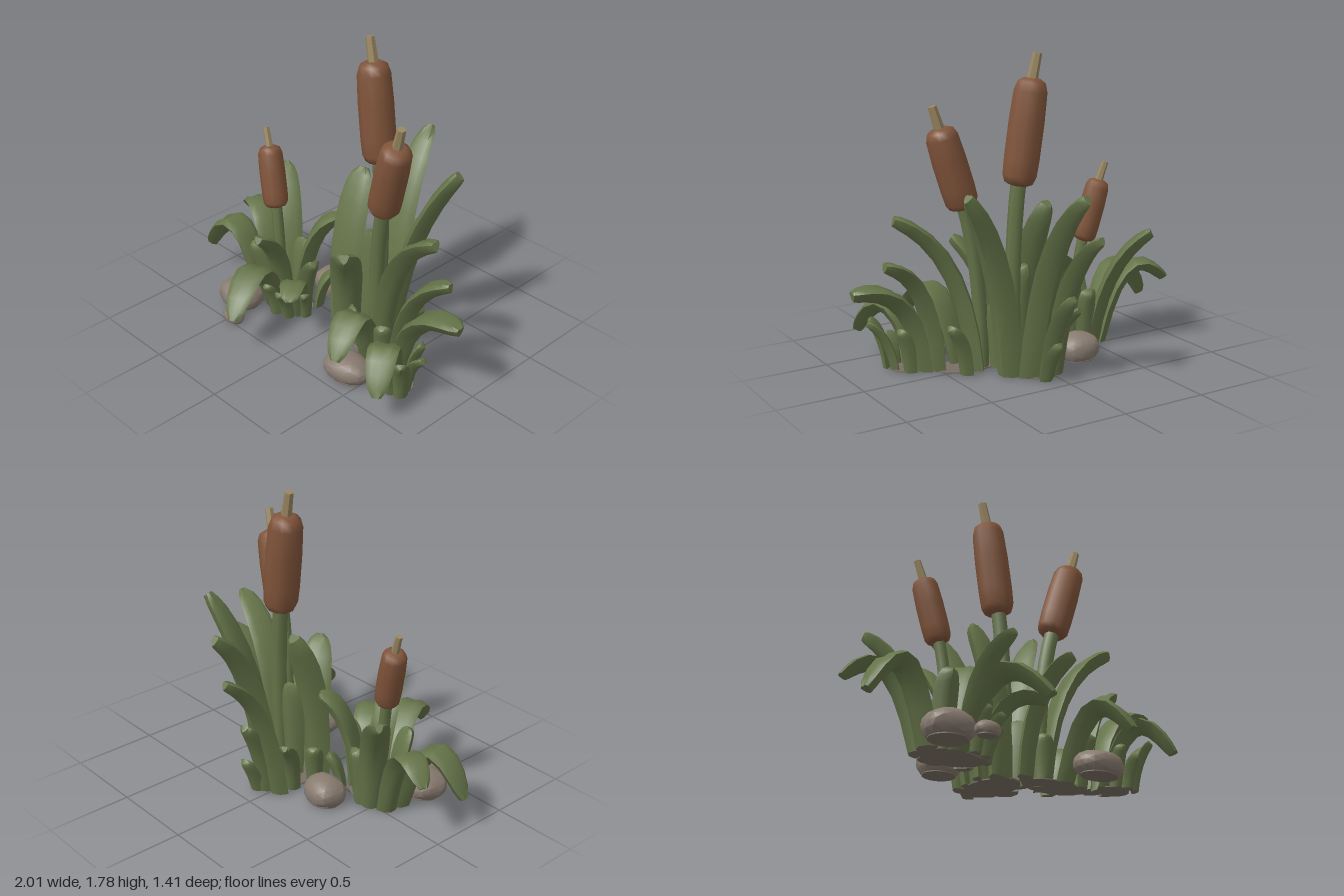
import * as THREE from 'three';
import { toCreasedNormals } from 'three/addons/utils/BufferGeometryUtils.js';

const mat = (name, color) => {
  const m = new THREE.MeshStandardMaterial({ color });
  m.name = name;
  return m;
};
const V = (x, y, z) => new THREE.Vector3(x, y, z);

export function createModel() {
  const green = mat('leaf green', 0x657449);
  const brown = mat('seed head brown', 0x80543a);
  const straw = mat('dry straw', 0x9a8761);
  const stone = mat('stone grey', 0x887b70);
  const earth = mat('earth', 0x7a6e64);
  const root = new THREE.Group();

  const add = (geo, material, name, parent = root) => {
    const m = new THREE.Mesh(geo, material);
    m.name = name;
    parent.add(m);
    return m;
  };

  // Leaf cross-section (side, normal): shallow groove above, rounded keel below
  const section = [[1, 0.15], [0.55, 0.4], [0, 0.3], [-0.55, 0.4], [-1, 0.15], [-0.6, -0.5], [0, -0.8], [0.6, -0.5]];
  // Stations along the leaf: position on the curve, width factor
  const stations = [[0, 0.82], [0.15, 0.88], [0.3, 0.94], [0.45, 1], [0.6, 1], [0.75, 0.95], [0.87, 0.82], [0.95, 0.62], [1, 0.3]];

  // Blade bending from base to tip; f and cy place the bend's control point
  function leafGeometry([bx, bz, tx, ty, tz, f, cy, w, taper = 0]) {
    const base = V(bx, 0, bz), tip = V(tx, ty, tz);
    const ctrl = base.clone().lerp(tip, f).setY(cy);
    const curve = new THREE.QuadraticBezierCurve3(base, ctrl, tip);
    const side = V(0, 1, 0).cross(V(tx - bx, 0, tz - bz).normalize());
    const pos = [], sides = [], cap = [], n = section.length;
    stations.forEach(([t, width], i) => {
      const c = curve.getPoint(t), normal = curve.getTangent(t).cross(side);
      const k = width * (1 - taper * t), thick = w * 0.42 * (0.45 + 0.55 * k);
      for (const [s, h] of section) {
        const p = c.clone().addScaledVector(side, s * k * w / 2).addScaledVector(normal, h * thick);
        pos.push(p.x, i ? Math.max(p.y, 0) : 0, p.z);
      }
      if (!i) return;
      for (let j = 0; j < n; j++) {
        const a = (i - 1) * n + j, b = (i - 1) * n + (j + 1) % n;
        sides.push(a, b, b + n, a, b + n, a + n);
      }
    });
    const last = (stations.length - 1) * n;
    for (let j = 1; j < n - 1; j++) {
      sides.push(last, last + j, last + j + 1);
      cap.push(0, j + 1, j);
    }
    const g = new THREE.BufferGeometry();
    g.setAttribute('position', new THREE.Float32BufferAttribute(pos, 3));
    g.setIndex([...sides, ...cap]);
    g.addGroup(0, sides.length, 0);
    g.addGroup(sides.length, cap.length, 1);
    return toCreasedNormals(g, 0.85);
  }

  // Each leaf: base x, z, tip x, y, z, bend fraction, bend height, width, taper
  const clumps = {
    tallClump: [
      [0.0, 0.01, -0.04, 0.95, -0.19, 0.0, 0.6, 0.21],
      [0.1, -0.27, 0.03, 1.07, -0.68, 0.25, 0.85, 0.22, 0.35],
      [-0.02, -0.3, -0.06, 0.84, -0.69, 0.25, 0.68, 0.17, 0.25],
      [0.2, -0.19, 0.54, 1.07, -0.34, 0.2, 0.72, 0.21, 0.25],
      [0.1, 0.08, 0.29, 0.7, 0.29, 0.1, 0.55, 0.18],
      [0.05, -0.34, 0, 0.49, -0.52, 0.25, 0.35, 0.14],
      [0.08, -0.38, 0.06, 0.23, -0.48, 0.3, 0.15, 0.11],
      [-0.05, -0.22, -0.15, 0.36, -0.36, 0.2, 0.27, 0.11],
      [-0.08, -0.08, -0.12, 0.25, -0.12, 0.2, 0.18, 0.11],
      [0.18, -0.05, 0.22, 0.4, -0.1, 0.15, 0.3, 0.14],
      [0.08, -0.1, 0.07, 0.6, -0.13, 0.15, 0.4, 0.15],
    ],
    sideClump: [
      [0.3, 0.0, 0.76, 0.9, 0.08, 0.15, 0.75, 0.19, 0.15],
      [0.4, -0.06, 0.52, 0.3, -0.1, 0.2, 0.22, 0.12],
      [0.5, 0.1, 0.84, 0.66, 0.04, 0.15, 0.6, 0.17, 0.1],
      [0.56, 0.14, 0.995, 0.5, 0.13, 0.15, 0.56, 0.19],
      [0.34, 0.14, 0.48, 0.24, 0.54, 0.4, 0.66, 0.18],
      [0.57, 0.2, 0.79, 0.17, 0.54, 0.45, 0.6, 0.17],
      [0.7, 0.22, 0.85, 0.29, 0.25, 0.2, 0.22, 0.1],
      [0.72, 0.28, 0.79, 0.28, 0.36, 0.2, 0.2, 0.1],
      [0.6, 0.27, 0.57, 0.22, 0.36, 0.2, 0.15, 0.09],
      [0.66, 0.3, 0.67, 0.18, 0.37, 0.2, 0.13, 0.09],
      [0.65, 0.14, 0.72, 0.26, 0.11, 0.2, 0.2, 0.11],
      [0.22, 0.1, 0.2, 0.26, 0.14, 0.2, 0.2, 0.12],
      [0.46, 0.14, 0.5, 0.3, 0.2, 0.2, 0.22, 0.12],
    ],
    smallClump: [
      [-0.58, 0.14, -0.995, 0.2, 0.2, 0.4, 0.72, 0.18],
      [-0.57, 0.04, -0.96, 0.37, -0.09, 0.35, 0.68, 0.16],
      [-0.48, 0.0, -0.75, 0.7, -0.22, 0.2, 0.55, 0.17, 0.1],
      [-0.36, 0.04, -0.15, 0.61, -0.1, 0.2, 0.58, 0.18],
      [-0.36, 0.16, -0.25, 0.64, 0.44, 0.1, 0.5, 0.15],
      [-0.42, 0.18, -0.21, 0.22, 0.68, 0.4, 0.66, 0.18],
      [-0.25, 0.15, -0.02, 0.31, 0.42, 0.3, 0.45, 0.15],
      [-0.27, 0.08, -0.15, 0.38, 0.11, 0.2, 0.3, 0.13],
      [-0.2, 0.14, -0.14, 0.2, 0.2, 0.2, 0.15, 0.09],
      [-0.24, 0.0, -0.18, 0.22, -0.06, 0.2, 0.17, 0.13],
      [-0.35, 0.24, -0.33, 0.24, 0.33, 0.2, 0.18, 0.1],
      [-0.27, 0.22, -0.23, 0.22, 0.32, 0.2, 0.16, 0.1],
      [-0.5, 0.16, -0.52, 0.42, 0.25, 0.2, 0.3, 0.14],
      [-0.42, -0.02, -0.42, 0.36, -0.07, 0.2, 0.28, 0.14],
    ],
  };
  for (const [name, leaves] of Object.entries(clumps)) {
    const g = new THREE.Group();
    g.name = name;
    leaves.forEach((l) => add(leafGeometry(l), [green, earth], 'leaf', g));
    root.add(g);
  }

  // Reeds: stem, rounded seed head and dry spike
  function between(geo, a, b, material, name, parent) {
    const m = add(geo, material, name, parent);
    m.position.copy(a);
    m.quaternion.setFromUnitVectors(V(0, 1, 0), b.clone().sub(a).normalize());
  }
  function reed(foot, low, high, end, r) {
    const g = new THREE.Group();
    g.name = 'reed';
    const bend = low.clone().sub(high.clone().sub(low).setLength(foot.distanceTo(low) * 0.35));
    const path = new THREE.QuadraticBezierCurve3(foot, bend, low.clone().lerp(high, 0.1));
    add(new THREE.TubeGeometry(path, 8, r * 0.44, 7), green, 'stem', g);
    const L = low.distanceTo(high), S = high.distanceTo(end);
    const profile = [[0, 0], [0.5, 0], [0.8, 0.025], [0.96, 0.09], [1, 0.25], [1, 0.6],
      [0.94, 0.88], [0.78, 0.965], [0.45, 1], [0, 1]].map(([x, y]) => new THREE.Vector2(x * r, y * L));
    between(new THREE.LatheGeometry(profile, 10), low, high, brown, 'seedHead', g);
    const spike = new THREE.CylinderGeometry(r * 0.25, r * 0.32, S + 0.03, 6).translate(0, S / 2 - 0.015, 0);
    between(toCreasedNormals(spike, 0.6), high, end, straw, 'spike', g);
    root.add(g);
  }
  reed(V(0.14, 0, -0.14), V(0.12, 1.06, -0.155), V(0.04, 1.64, -0.17), V(0.01, 1.775, -0.175), 0.101);
  reed(V(0.27, 0, 0.0), V(0.345, 0.92, 0.05), V(0.475, 1.37, 0.085), V(0.51, 1.49, 0.095), 0.097);
  reed(V(-0.45, 0, 0.1), V(-0.485, 0.62, 0.095), V(-0.575, 0.98, 0.06), V(-0.61, 1.085, 0.05), 0.076);

  // Thin earth under the clumps and stones
  const ground = (x, z, rx, rz) => {
    const m = add(new THREE.CylinderGeometry(1, 1, 0.006, 16), earth, 'earth');
    m.scale.set(rx, 1, rz);
    m.position.set(x, 0.003, z);
  };
  ground(0.07, -0.16, 0.13, 0.2);
  ground(0.32, 0.06, 0.2, 0.11);
  ground(0.63, 0.21, 0.1, 0.08);
  ground(-0.4, 0.1, 0.19, 0.12);

  // Stones: uneven rounded balls with flat undersides
  function rock(x, z, rx, rz, h, seed) {
    const g = new THREE.IcosahedronGeometry(1, 2), p = g.attributes.position;
    for (let i = 0; i < p.count; i++) {
      const v = V().fromBufferAttribute(p, i);
      const q = Math.abs(v.x) ** 2.2 + Math.abs(v.y) ** 2.2 + Math.abs(v.z) ** 2.2;
      v.multiplyScalar(q ** -0.45 * (0.98 + 0.05 * Math.sin(3 * v.x + seed) * Math.cos(4 * v.z - 2 * v.y + seed)));
      p.setXYZ(i, x + v.x * rx, Math.max(0.006, h * (0.42 + 0.58 * v.y)), z + v.z * rz);
    }
    add(toCreasedNormals(g, 0.5), stone, 'rock');
    ground(x, z, rx * 0.75, rz * 0.75);
  }
  rock(-0.575, 0.31, 0.145, 0.13, 0.16, 1);
  rock(-0.46, 0.475, 0.072, 0.055, 0.08, 2);
  rock(0.39, 0.36, 0.155, 0.11, 0.14, 3);
  rock(-0.275, -0.175, 0.128, 0.11, 0.16, 4);
  return root;
}
